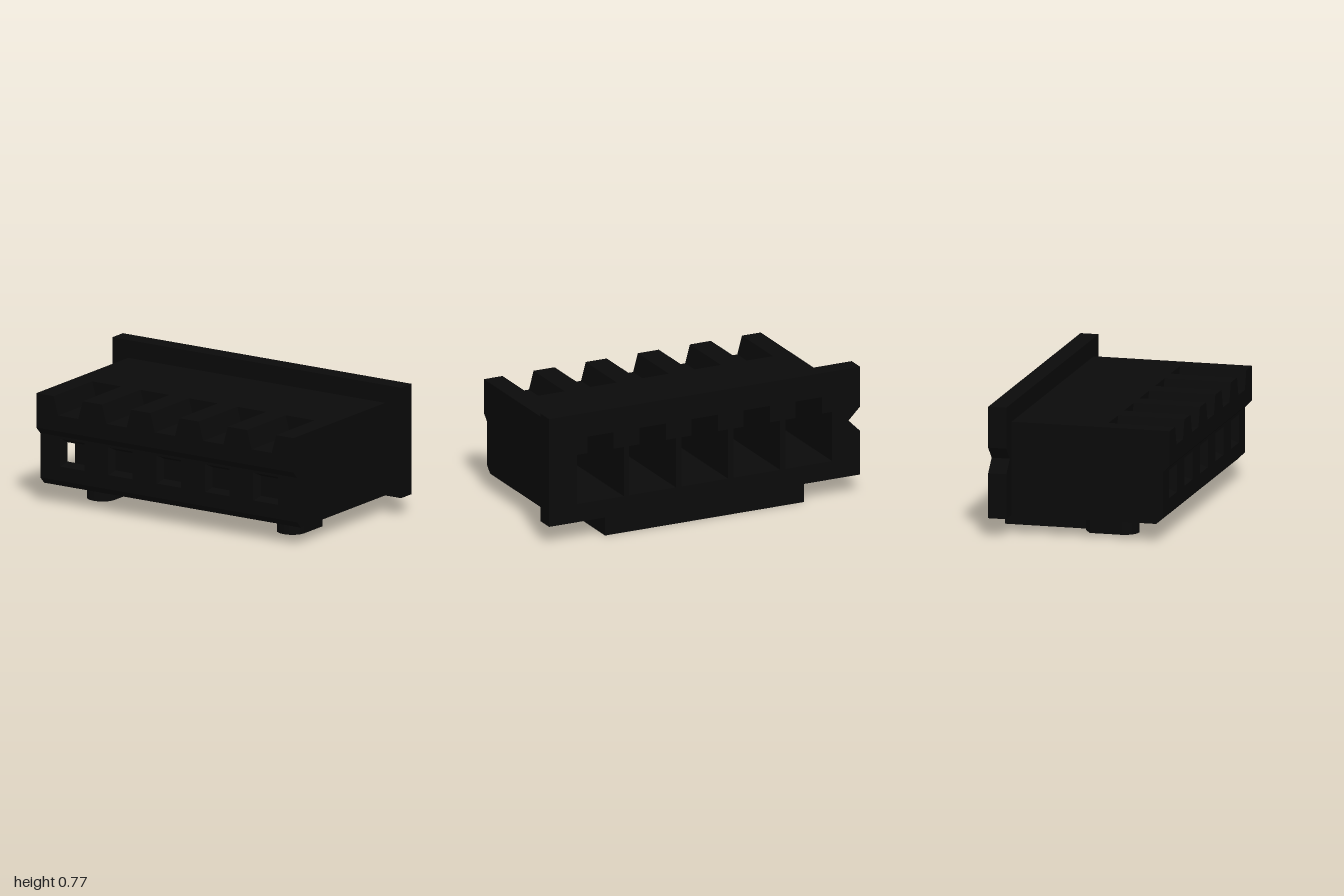
import * as THREE from 'three';

const PINS = [-0.67, -0.335, 0, 0.335, 0.67];
const W = 0.89, BOTTOM = 0.11, TOP = 0.66;

const poly = (pts) => new THREE.Shape(pts.map(([x, y]) => new THREE.Vector2(x, y)));

// Rectangular opening around a pin centre
const rectHole = (cx, hw, y0, y1) => poly([[cx - hw, y0], [cx - hw, y1], [cx + hw, y1], [cx + hw, y0]]);

// Wire pocket with a narrower keyway on top
const keyedHole = (cx, keyTop) => poly([
  [cx - 0.15, 0.22], [cx - 0.15, 0.52], [cx - 0.085, 0.52], [cx - 0.085, keyTop],
  [cx + 0.085, keyTop], [cx + 0.085, 0.52], [cx + 0.15, 0.52], [cx + 0.15, 0.22],
]);

// Outline whose top edge is cut by one tapered slot per pin
function slottedOutline(y0) {
  const pts = [[W, y0], [-W, y0], [-W, TOP]];
  for (const c of PINS) pts.push([c - 0.1, TOP], [c - 0.07, 0.55], [c + 0.07, 0.55], [c + 0.1, TOP]);
  pts.push([W, TOP]);
  return pts;
}

export function createModel() {
  const group = new THREE.Group();
  const material = new THREE.MeshStandardMaterial({ color: 0x0a0a0a });
  const thin = new THREE.MeshStandardMaterial({ color: 0x0a0a0a, side: THREE.DoubleSide });

  function add(name, geometry, mat = material) {
    const mesh = new THREE.Mesh(geometry, mat);
    mesh.name = name;
    group.add(mesh);
    return mesh;
  }

  // Slice of the housing between two z positions
  function slice(name, pts, z0, z1, hole) {
    const shape = poly(pts);
    if (hole) shape.holes = PINS.map(hole);
    const g = new THREE.ExtrudeGeometry(shape, { depth: z1 - z0, bevelEnabled: false });
    add(name, g.translate(0, 0, z0));
  }

  // Bar along x with a (z, y) section
  function bar(name, section) {
    const g = new THREE.ExtrudeGeometry(poly(section), { depth: 2 * W, bevelEnabled: false });
    add(name, g.rotateY(-Math.PI / 2).translate(W, 0, 0));
  }

  // Rear flange with the side notch
  slice('rearFlange', [
    [-1, BOTTOM], [1, BOTTOM], [1, 0.766], [-1, 0.766], [-1, 0.525], [-0.925, 0.45], [-1, 0.375],
  ], -0.525, -0.417, (c) => keyedHole(c, 0.62));

  // Main housing, from the back to the front wall
  const box = [[-W, BOTTOM], [W, BOTTOM], [W, TOP], [-W, TOP]];
  slice('housingRear', box, -0.417, -0.1, (c) => keyedHole(c, 0.62));
  slice('housingMiddle', box, -0.1, 0.13, (c) => keyedHole(c, 0.56));
  slice('housingSlotted', slottedOutline(BOTTOM), 0.13, 0.4, (c) => rectHole(c, 0.15, 0.22, 0.52));
  slice('frontWall', slottedOutline(BOTTOM), 0.4, 0.445, (c) => rectHole(c, 0.06, 0.26, 0.375));
  slice('frontFace', slottedOutline(0.15), 0.445, 0.485, (c) => rectHole(c, 0.085, 0.235, 0.4));

  // Overhanging upper lip and the two chamfers
  slice('frontLip', slottedOutline(0.455), 0.485, 0.525);
  bar('lipChamfer', [[0.485, 0.415], [0.525, 0.455], [0.485, 0.455]]);
  bar('lowerChamfer', [[0.445, 0.11], [0.485, 0.15], [0.445, 0.15]]);

  // Funnels leading into the pin holes
  for (const c of PINS) {
    const g = new THREE.CylinderGeometry(0.085 * Math.SQRT2, 0.06 * Math.SQRT2, 0.04, 4, 1, true);
    g.rotateY(Math.PI / 4).rotateX(Math.PI / 2);
    const funnel = add('pinFunnel', g.toNonIndexed(), thin);
    funnel.geometry.computeVertexNormals();
    funnel.position.set(c, 0.3175, 0.465);
  }

  // Guide rails under the housing, stepped outward and rounded at the front
  for (const s of [-1, 1]) {
    const pts = [[0.57, -0.5], [0.64, -0.5], [0.64, -0.04], [0.68, -0.03], [0.745, 0.01]];
    for (let i = 0; i <= 8; i++) {
      const a = (i / 8) * Math.PI;
      pts.push([0.6575 + 0.0875 * Math.cos(a), 0.2 + 0.08 * Math.sin(a)]);
    }
    const g = new THREE.ExtrudeGeometry(poly(pts.map(([x, z]) => [s * x, z])), { depth: BOTTOM, bevelEnabled: false });
    add(s > 0 ? 'leftRail' : 'rightRail', g.rotateX(Math.PI / 2).translate(0, BOTTOM, 0));
  }

  // Lower back wall joining the rails
  add('lowerBackWall', new THREE.BoxGeometry(1.28, BOTTOM, 0.108).translate(0, BOTTOM / 2, -0.471));

  return group;
}
